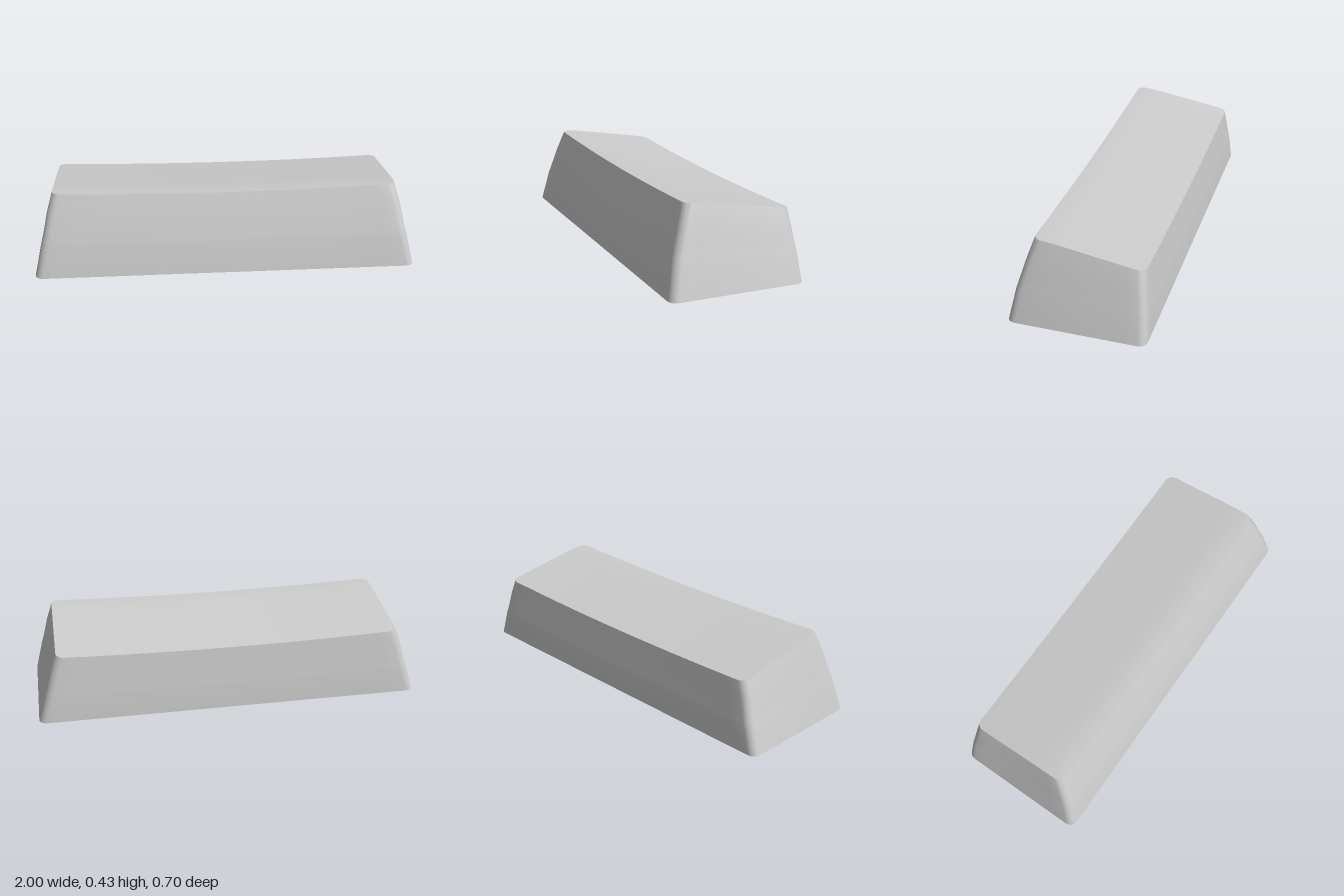
import * as THREE from 'three';
import { toCreasedNormals } from 'three/addons/utils/BufferGeometryUtils.js';

const material = new THREE.MeshStandardMaterial({ color: 0xcccccc });

// Dished, sloping top surface
const topY = (x, z) =>
  0.401 + 0.165 * z - 0.5 * Math.max(0, z - 0.1) ** 2 - 0.018 * (1 - (x / 0.893) ** 2);

// Wall profile: [height fraction, half width, front z, back z]
const profile = [
  [1, 0.893, 0.232, -0.317],
  [0.75, 0.924, 0.268, -0.327],
  [0.52, 0.946, 0.298, -0.336],
  [0.45, 0.954, 0.307, -0.339],
  [0.38, 0.962, 0.316, -0.342],
  [0, 1, 0.35, -0.35],
];

// Rounded rectangle in plan, as [x, z] pairs
function outline(halfX, zf, zb, r) {
  const corners = [
    [halfX - r, zf - r], [-halfX + r, zf - r], [-halfX + r, zb + r], [halfX - r, zb + r],
  ];
  const arcs = corners.map(([cx, cz], q) => Array.from({ length: 7 }, (_, i) => {
    const a = (q + i / 6) * Math.PI / 2;
    return [cx + r * Math.cos(a), cz + r * Math.sin(a)];
  }));
  const points = [];
  arcs.forEach((arc, q) => {
    points.push(...arc);
    const from = arc[6], to = arcs[(q + 1) % 4][0];
    const n = q % 2 ? 8 : 24;
    for (let i = 1; i < n; i++) {
      points.push([from[0] + (to[0] - from[0]) * i / n, from[1] + (to[1] - from[1]) * i / n]);
    }
  });
  return points;
}

// Rows of one skin, from the centre of the top out to the bottom edge
function skinRows(inset, drop, r) {
  const rows = [];
  const [, w, zf, zb] = profile[0];
  const rim = outline(w - inset, zf - inset, zb + inset, r);
  const zc = (zf + zb) / 2;
  for (let i = 0; i < 8; i++) {
    rows.push(rim.map(([px, pz]) => {
      const x = px * i / 8, z = zc + (pz - zc) * i / 8;
      return [x, topY(x, z) - drop, z];
    }));
  }
  for (const [t, hw, f, b] of profile) {
    rows.push(outline(hw - inset, f - inset, b + inset, r)
      .map(([x, z]) => [x, t * (topY(x, z) - drop), z]));
  }
  return rows;
}

// Outer skin, bottom rim and inner skin as one closed surface
function shellGeometry() {
  const rows = [...skinRows(0, 0, 0.042), ...skinRows(0.042, 0.075, 0.03).reverse()];
  const positions = [];
  for (let i = 0; i < rows.length - 1; i++) {
    const n = rows[i].length;
    for (let j = 0; j < n; j++) {
      const k = (j + 1) % n;
      const a = rows[i][j], b = rows[i][k], c = rows[i + 1][j], d = rows[i + 1][k];
      if (i > 0) positions.push(...a, ...b, ...c);
      if (i < rows.length - 2) positions.push(...b, ...d, ...c);
      if (i === 0) continue;
    }
  }
  const geometry = new THREE.BufferGeometry();
  geometry.setAttribute('position', new THREE.Float32BufferAttribute(positions, 3));
  return toCreasedNormals(geometry, 0.5);
}

// Flat rib extruded from a side outline, centred on its thickness
function ribGeometry(points, thickness) {
  const shape = new THREE.Shape(points.map(([x, y]) => new THREE.Vector2(x, y)));
  return new THREE.ExtrudeGeometry(shape, { depth: thickness, bevelEnabled: false })
    .translate(0, 0, -thickness / 2);
}

// Round socket with a cross-shaped hole
function socketGeometry(radius, depth) {
  const shape = new THREE.Shape().absarc(0, 0, radius, 0, Math.PI * 2);
  const l = 0.08, w = 0.025;
  const cross = [
    [l, -w], [l, w], [w, w], [w, l], [-w, l], [-w, w],
    [-l, w], [-l, -w], [-w, -w], [-w, -l], [w, -l], [w, -w],
  ];
  shape.holes.push(new THREE.Path(cross.map(([x, y]) => new THREE.Vector2(x, y))));
  const geometry = new THREE.ExtrudeGeometry(shape, { depth, bevelEnabled: false, curveSegments: 20 });
  return toCreasedNormals(geometry.rotateX(-Math.PI / 2), 0.5);
}

export function createModel() {
  const model = new THREE.Group();
  model.name = 'keycap';
  const add = (parent, name, geometry, x = 0, y = 0, z = 0) => {
    const mesh = new THREE.Mesh(geometry, material);
    mesh.name = name;
    mesh.position.set(x, y, z);
    parent.add(mesh);
  };

  add(model, 'shell', shellGeometry());

  // Long rib under the top, running the full width
  add(model, 'longRib',
    ribGeometry([[-0.92, 0.22], [0.92, 0.22], [0.87, 0.345], [-0.87, 0.345]], 0.05));

  // Three stems, each with a cross rib reaching the front and back walls
  const socket = socketGeometry(0.107, 0.14);
  const plug = new THREE.CylinderGeometry(0.107, 0.107, 0.14, 40);
  const crossRib = ribGeometry([[-0.28, 0.22], [0.31, 0.22], [0.3, 0.3], [-0.21, 0.375]], 0.05)
    .rotateY(Math.PI / 2);
  for (const x of [-0.64, 0, 0.64]) {
    const stem = new THREE.Group();
    stem.name = 'stem';
    stem.position.x = x;
    add(stem, 'socket', socket, 0, 0.08);
    add(stem, 'stemRoot', plug, 0, 0.29);
    add(stem, 'crossRib', crossRib);
    model.add(stem);
  }
  return model;
}
